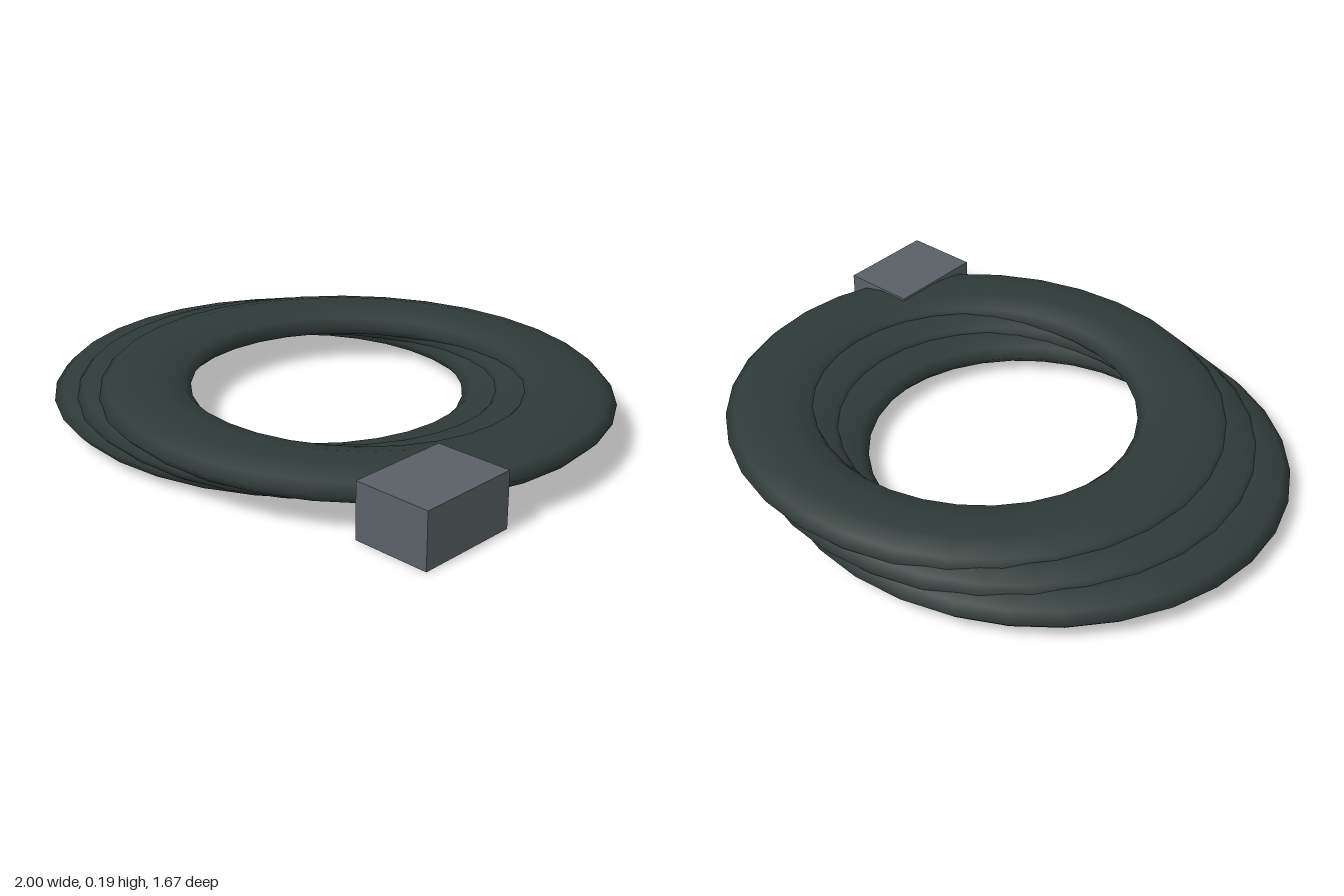
import * as THREE from 'three';

export function createModel() {
  const group = new THREE.Group();
  const rubber = new THREE.MeshStandardMaterial({ color: 0x2f3a38 });
  rubber.name = 'dark hose';
  const metal = new THREE.MeshStandardMaterial({ color: 0x596066 });
  metal.name = 'grey coupling';

  // Three flattened oval coils, each shifted sideways as the stack rises
  const coilGeometry = new THREE.TorusGeometry(0.72, 0.16, 10, 32);
  coilGeometry.rotateX(-Math.PI / 2);
  coilGeometry.scale(1, 0.335, 0.95);
  ['lowerCoil', 'middleCoil', 'upperCoil'].forEach((name, i) => {
    const coil = new THREE.Mesh(coilGeometry, rubber);
    coil.name = name;
    coil.position.set((i - 1) * 0.12, 0.094 + (i - 1) * 0.033, 0);
    group.add(coil);
  });

  // Block coupling at the end of the hose
  const coupling = new THREE.Mesh(new THREE.BoxGeometry(0.265, 0.187, 0.355), metal);
  coupling.name = 'endCoupling';
  coupling.position.set(0.852, 0.0935, 0.448);
  group.add(coupling);

  return group;
}
